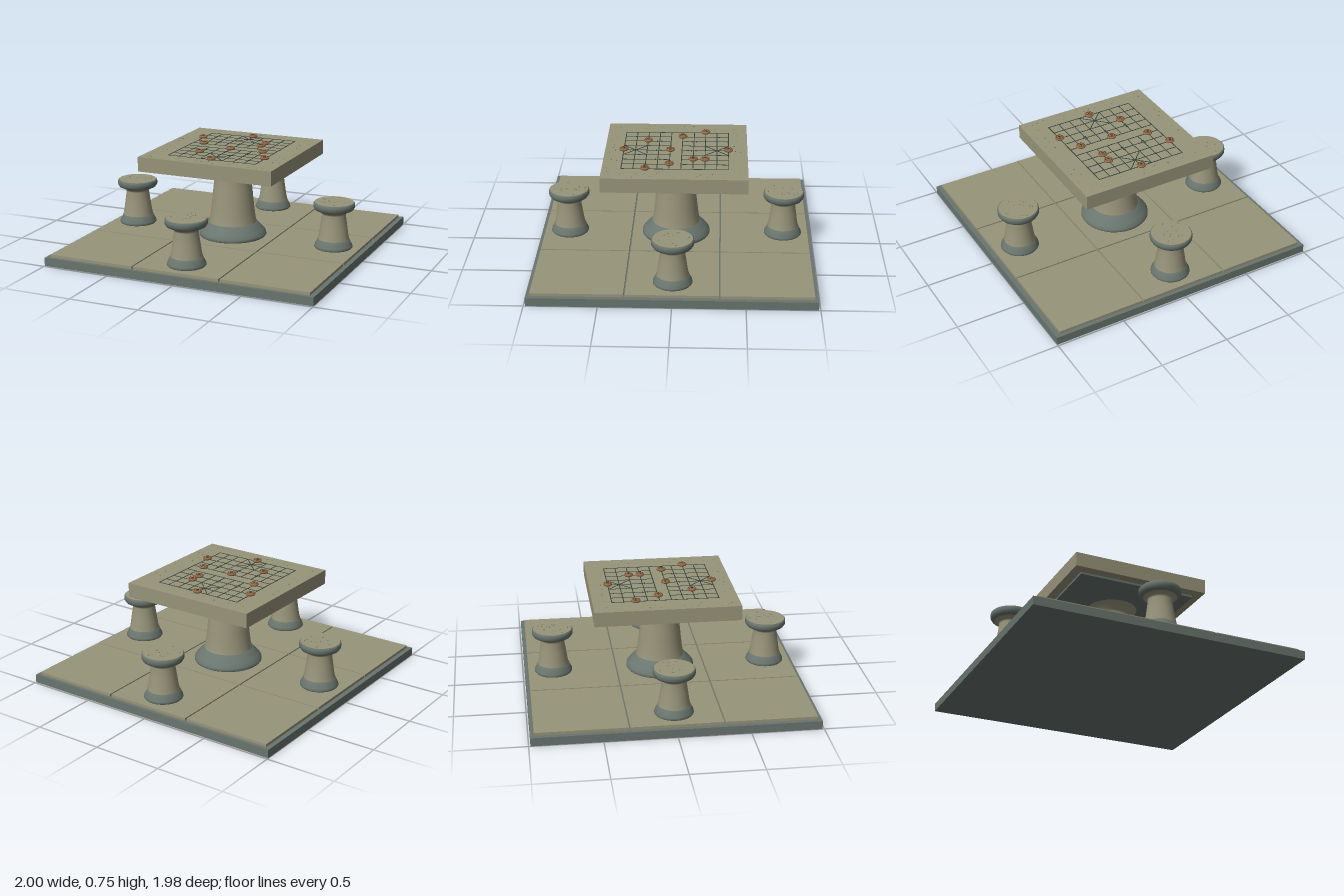
import * as THREE from 'three';

const mat = (name, color) => {
  const m = new THREE.MeshStandardMaterial({ color });
  m.name = name;
  return m;
};

export function createModel() {
  const model = new THREE.Group();
  model.name = 'stoneGameTable';
  const stone = mat('warmStone', 0x98947a);
  const slate = mat('slateStone', 0x69756f);
  const ink = mat('engravedLine', 0x34443f);
  const wood = mat('pieceWood', 0x936a47);
  const dark = mat('pieceMarking', 0x3d2a20);
  const speck = mat('darkFleck', 0x707364);
  const tan = mat('tanFleck', 0x8f7d5c);

  const add = (parent, name, geo, material, x = 0, y = 0, z = 0) => {
    const mesh = new THREE.Mesh(geo, material);
    mesh.name = name;
    mesh.position.set(x, y, z);
    parent.add(mesh);
    return mesh;
  };
  // box given by its bottom and top heights
  const slab = (parent, name, w, d, y0, y1, material, x = 0, z = 0) =>
    add(parent, name, new THREE.BoxGeometry(w, y1 - y0, d), material, x, (y0 + y1) / 2, z);
  const lathe = (parent, name, profile, material, segments = 40) =>
    add(parent, name, new THREE.LatheGeometry(profile.map(p => new THREE.Vector2(...p)), segments), material);
  const group = (name) => {
    const g = new THREE.Group();
    g.name = name;
    model.add(g);
    return g;
  };
  let seed = 7;
  const rand = () => (seed = (seed * 16807) % 2147483647) / 2147483647;
  const fleck = (parent, x, y, z) => add(parent, 'fleck',
    new THREE.CylinderGeometry(0.003 + rand() * 0.003, 0.005, 0.002, 6), rand() < 0.7 ? speck : tan, x, y, z);

  // paved floor: plinth and nine tiles with open joints
  const floor = group('floor');
  slab(floor, 'plinth', 2, 1.976, 0, 0.06, slate);
  for (const i of [-1, 0, 1]) for (const k of [-1, 0, 1])
    slab(floor, 'tile', 0.637, 0.634, 0.058, 0.08, stone, i * 0.648, k * 0.645);

  // central pedestal
  const pedestal = group('pedestal');
  lathe(pedestal, 'pedestalFoot', [[0.24, 0.08], [0.246, 0.088], [0.244, 0.105], [0.225, 0.13], [0.195, 0.16], [0.178, 0.18], [0.165, 0.185]], slate);
  lathe(pedestal, 'pedestalShaft', [[0.175, 0.175], [0.165, 0.22], [0.153, 0.32], [0.143, 0.42], [0.131, 0.53], [0.136, 0.55], [0.165, 0.585], [0.185, 0.607]], stone);

  // table top
  const table = group('tableTop');
  slab(table, 'underPlate', 0.874, 0.876, 0.604, 0.622, slate);
  slab(table, 'slab', 1.01, 1.02, 0.62, 0.725, stone);
  for (let i = 0; i < 44; i++) {
    const along = (rand() - 0.5) * 0.9, side = (rand() < 0.5 ? -1 : 1) * (0.41 + rand() * 0.07);
    if (i % 2) fleck(table, along, 0.7255, side);
    else fleck(table, side, 0.7255, along);
  }

  // engraved board: 9 files, 10 ranks, a river between the halves
  const board = group('board');
  const S = 0.0833, W = 0.006;
  const line = (x0, z0, x1, z1, w = W) => {
    const m = slab(board, 'boardLine', Math.hypot(x1 - x0, z1 - z0) + w, w, 0.723, 0.727, ink, (x0 + x1) / 2, (z0 + z1) / 2);
    m.rotation.y = -Math.atan2(z1 - z0, x1 - x0);
  };
  for (let r = 0; r < 10; r++) line(-4 * S, (r - 4.5) * S, 4 * S, (r - 4.5) * S);
  for (const s of [-1, 1]) {
    line(s * 4 * S, -4.5 * S, s * 4 * S, 4.5 * S);
    for (let f = -3; f <= 3; f++) line(f * S, s * 0.5 * S, f * S, s * 4.5 * S, 0.005);
    // crossed palace lines
    line(-S, s * 4.5 * S, S, s * 2.5 * S);
    line(S, s * 4.5 * S, -S, s * 2.5 * S);
    // small position marks
    for (const f of [-2, 0, 2]) for (const a of [-1, 1]) for (const b of [-1, 1])
      slab(board, 'positionMark', 0.007, 0.007, 0.723, 0.727, ink, f * S + a * 0.007, s * 1.5 * S + b * 0.016);
  }

  // round wooden pieces, in board steps from the centre
  const spots = [[0, -4.5], [-4, -2.5], [2, -2.5], [2, -1.5], [-3, -0.5], [0, 0.5], [3, 0.5], [-2, 2.5], [4, 2.5], [0, 4.5]];
  spots.forEach(([f, r], i) => {
    const piece = group('piece');
    piece.position.set(f * S, 0.725, r * S);
    lathe(piece, 'pieceBody', [[0.027, 0], [0.032, 0.005], [0.033, 0.01], [0.031, 0.015], [0.027, 0.018], [0, 0.018]], wood, 24);
    const ring = add(piece, 'pieceRing', new THREE.RingGeometry(0.021, 0.0245, 24), dark, 0, 0.0187, 0);
    ring.rotation.x = -Math.PI / 2;
    // plain cross-shaped inlay
    slab(piece, 'pieceInlay', 0.022, 0.004, 0.017, 0.02, dark).rotation.y = i % 2 ? 0.5 : 0;
    slab(piece, 'pieceInlay', 0.004, 0.022, 0.017, 0.02, dark).rotation.y = i % 2 ? 0.5 : 0;
  });

  // four stools around the table
  for (const [x, z] of [[0.78, 0], [-0.78, 0], [0, 0.78], [0, -0.78]]) {
    const stool = group('stool');
    stool.position.set(x, 0, z);
    lathe(stool, 'stoolFoot', [[0.13, 0.08], [0.136, 0.087], [0.134, 0.1], [0.122, 0.122], [0.113, 0.145], [0.1, 0.15]], slate);
    lathe(stool, 'stoolShaft', [[0.112, 0.142], [0.104, 0.18], [0.094, 0.25], [0.083, 0.325], [0.09, 0.338], [0.115, 0.352], [0.132, 0.362]], stone);
    lathe(stool, 'seatRim', [[0.118, 0.353], [0.136, 0.362], [0.146, 0.378], [0.147, 0.395], [0.145, 0.408], [0.139, 0.413], [0.12, 0.413]], slate);
    add(stool, 'seatTop', new THREE.CylinderGeometry(0.138, 0.138, 0.01, 40), stone, 0, 0.41, 0);
    for (let i = 0; i < 16; i++) {
      const a = rand() * Math.PI * 2, d = 0.12 * Math.sqrt(rand());
      fleck(stool, d * Math.cos(a), 0.4155, d * Math.sin(a));
    }
  }
  return model;
}
